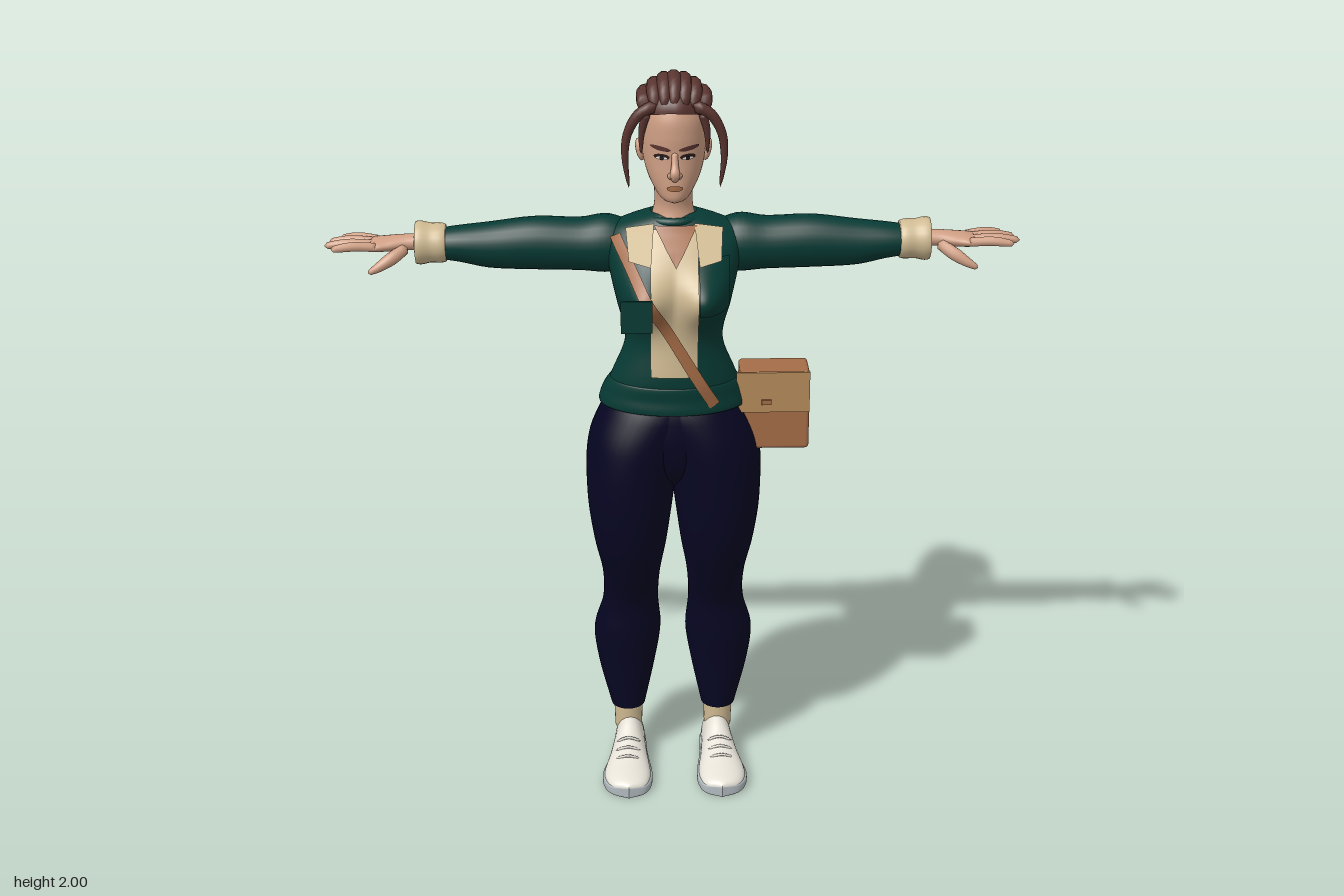
import * as THREE from 'three';
import { RoundedBoxGeometry } from 'three/addons/geometries/RoundedBoxGeometry.js';

const material = (name, color, side = THREE.FrontSide) => {
  const m = new THREE.MeshStandardMaterial({ color, side });
  m.name = name;
  return m;
};

// Smooth lookup in rows keyed by their first column
function lookup(rows, k) {
  let i = 0;
  while (i < rows.length - 2 && k > rows[i + 1][0]) i++;
  const a = rows[i], b = rows[i + 1], p = rows[Math.max(i - 1, 0)], q = rows[Math.min(i + 2, rows.length - 1)];
  const h = b[0] - a[0], t = THREE.MathUtils.clamp((k - a[0]) / h, 0, 1), t2 = t * t, t3 = t2 * t;
  return a.map((_, c) => {
    const m0 = (b[c] - p[c]) / (b[0] - p[0]) * h, m1 = (q[c] - a[c]) / (q[0] - a[0]) * h;
    return (2 * t3 - 3 * t2 + 1) * a[c] + (t3 - 2 * t2 + t) * m0 + (3 * t2 - 2 * t3) * b[c] + (t3 - t2) * m1;
  });
}

// Surface from f(u, v) -> [x, y, z]; u may wrap around
function grid(nu, nv, f, wrap = true) {
  const pos = [], idx = [], cols = wrap ? nu : nu + 1;
  for (let j = 0; j <= nv; j++) for (let i = 0; i < cols; i++) pos.push(...f(i / nu, j / nv));
  for (let j = 0; j < nv; j++) for (let i = 0; i < nu; i++) {
    const a = j * cols + i, b = j * cols + (i + 1) % cols;
    idx.push(a, b, b + cols, a, b + cols, a + cols);
  }
  const g = new THREE.BufferGeometry();
  g.setAttribute('position', new THREE.Float32BufferAttribute(pos, 3));
  g.setIndex(idx);
  g.computeVertexNormals();
  return g;
}

// Upright body form from rows [y, xMin, xMax, zFront, zBack]
const loft = (rows, bump = () => 0, nu = 40, nv = 48) => grid(nu, nv, (u, v) => {
  const [y, x0, x1, zf, zb] = lookup(rows, THREE.MathUtils.lerp(rows[0][0], rows.at(-1)[0], v));
  const a = u * Math.PI * 2, c = Math.cos(a);
  const x = (x0 + x1) / 2 + (x1 - x0) / 2 * Math.sin(a);
  return [x, y, (zf + zb) / 2 + (zf - zb) / 2 * c + (c > 0 ? bump(x, y) * Math.min(1, c * 2) : 0)];
});

// Depth of a body form at (x, y), front or back
function depth(rows, x, y, s = 1, bump = () => 0) {
  const [, x0, x1, zf, zb] = lookup(rows, y);
  const q = (x - (x0 + x1) / 2) / ((x1 - x0) / 2), c = Math.sqrt(Math.max(0, 1 - q * q));
  return (zf + zb) / 2 + s * (zf - zb) / 2 * c + (s > 0 ? bump(x, y) * Math.min(1, c * 2) : 0);
}

// Round tube with changing radius
function taper(points, radii, nu = 10, nv = 16) {
  const curve = new THREE.CatmullRomCurve3(points.map(p => new THREE.Vector3(...p)));
  const fr = curve.computeFrenetFrames(nv, false), rr = radii.map((r, i) => [i / (radii.length - 1), r]);
  return grid(nu, nv, (u, v) => {
    const i = Math.round(v * nv), a = u * Math.PI * 2, r = v === 0 || v === 1 ? 0 : lookup(rr, v)[1];
    return curve.getPoint(v).addScaledVector(fr.normals[i], r * Math.cos(a)).addScaledVector(fr.binormals[i], r * Math.sin(a)).toArray();
  });
}

function mirrored(geo) {
  const g = geo.clone().scale(-1, 1, 1), ix = g.index.array;
  for (let i = 0; i < ix.length; i += 3) [ix[i], ix[i + 1]] = [ix[i + 1], ix[i]];
  return g;
}

const sym = rows => rows.map(([y, r, f, b]) => [y, -r, r, f, b]);
const TORSO = sym([[1.11, .19, .112, -.145], [1.15, .183, .118, -.13], [1.2, .163, .125, -.105], [1.3, .128, .122, -.085],
  [1.4, .15, .125, -.112], [1.48, .168, .122, -.13], [1.55, .18, .092, -.13], [1.59, .165, .06, -.12], [1.615, .11, .045, -.1], [1.63, .06, .03, -.08]]);
const HEM = sym([[1.108, .188, .112, -.148], [1.112, .199, .126, -.158], [1.15, .19, .125, -.14], [1.185, .171, .126, -.113], [1.19, .16, .118, -.105]]);
const PELVIS = sym([[.87, .05, .03, -.04], [.92, .1, .085, -.09], [1, .15, .112, -.125], [1.08, .17, .112, -.13], [1.14, .165, .1, -.11]]);
const LEG = [[.16, .08, .175, -.02, -.125], [.3, .05, .21, -.008, -.155], [.4, .035, .22, .005, -.165], [.5, .042, .195, .012, -.132],
  [.6, .037, .195, .055, -.108], [.7, .02, .215, .095, -.11], [.8, .006, .23, .115, -.118], [.88, -.006, .235, .122, -.137],
  [.95, -.025, .235, .125, -.157], [1.02, -.055, .225, .124, -.166], [1.1, -.1, .192, .112, -.147], [1.14, -.1, .17, .095, -.115]];
const HEAD = sym([[1.678, .006, .085, .06], [1.685, .03, .1, .015], [1.71, .051, .105, -.03], [1.75, .07, .104, -.065], [1.8, .081, .102, -.087],
  [1.85, .083, .105, -.093], [1.9, .08, .1, -.09], [1.94, .065, .075, -.07], [1.97, .01, .01, -.01]]);
const NECK = sym([[1.56, .08, .06, -.09], [1.61, .06, .042, -.088], [1.65, .05, .034, -.083], [1.7, .05, .045, -.075], [1.75, .05, .05, -.07]]);
const ARM = [[.1, 1.53, .06, -.04, .06], [.17, 1.537, .077, -.04, .07], [.24, 1.536, .07, -.038, .066], [.36, 1.54, .07, -.035, .062],
  [.48, 1.536, .06, -.035, .057], [.56, 1.54, .047, -.035, .052], [.61, 1.54, .04, -.035, .045]];
const CUFF = [[.588, 1.542, .03, -.035, .03], [.59, 1.542, .048, -.035, .05], [.63, 1.543, .052, -.035, .053], [.67, 1.543, .054, -.035, .055], [.672, 1.543, .03, -.035, .035]];
const HAND = [[.63, 1.545, .022, -.034, .028], [.69, 1.545, .021, -.034, .028], [.74, 1.542, .019, -.034, .04], [.785, 1.54, .013, -.034, .046], [.795, 1.54, .001, -.034, .02]];
// Shoe rows: z, half width, height, centre x
const SHOE = [[-.125, 0, .04, .122], [-.118, .034, .09, .122], [-.07, .044, .125, .123], [-.025, .047, .125, .125], [.03, .055, .095, .128],
  [.1, .066, .068, .132], [.15, .062, .055, .132], [.185, .042, .045, .13], [.2, 0, .035, .13]];

const bust = (x, y) => .068 * Math.exp(-(((Math.abs(x) - .088) / .068) ** 2) - ((y - 1.43) / .065) ** 2);

export function createModel() {
  const root = new THREE.Group();
  const D = THREE.DoubleSide;
  const skin = material('skin', 0xcf9f84), hair = material('hair', 0x5a3530), green = material('jacketGreen', 0x073a34, D),
    navy = material('trouserNavy', 0x060522), cream = material('cream', 0xcfba92, D), leather = material('leather', 0xa56c47, D),
    tan = material('bagTan', 0xb4895a), white = material('shoeWhite', 0xe6e2d8), grey = material('soleGrey', 0xb2babe), dark = material('dark', 0x2a1a1a);
  const add = (name, geo, mat) => {
    const m = new THREE.Mesh(geo, mat);
    m.name = name;
    root.add(m);
  };
  const both = (name, geo, mat) => {
    add(name + 'Left', geo, mat);
    add(name + 'Right', mirrored(geo), mat);
  };

  // Jacket, trousers
  add('jacketBody', loft(TORSO, bust, 64, 64), green);
  add('jacketHem', loft(HEM), green);
  add('jacketNeckband', new THREE.TorusGeometry(.068, .012, 10, 32).rotateX(Math.PI / 2).scale(1, 1, .98).translate(0, 1.613, -.026), green);
  add('trouserSeat', loft(PELVIS), navy);
  both('trouserLeg', loft(LEG), navy);

  // Sleeves, cuffs and hands run along x
  const limb = rows => grid(24, 32, (u, v) => {
    const [x, cy, ry, cz, rz] = lookup(rows, THREE.MathUtils.lerp(rows[0][0], rows.at(-1)[0], v));
    const a = u * Math.PI * 2;
    return [x, cy - ry * Math.sin(a), cz + rz * Math.cos(a)];
  });
  both('sleeve', limb(ARM), green);
  both('cuff', limb(CUFF), cream);
  both('palm', limb(HAND), skin);
  [[-.068, -.088, .868], [-.046, -.055, .896], [-.023, -.018, .905], [0, .016, .885]].forEach(([z0, z1, x], i) =>
    both('finger' + (i + 1), taper([[.765, 1.541, z0], [(x + .77) / 2, 1.546, (z0 + z1) / 2], [x, 1.541, z1]], [.012, .0125, .012, .008]), skin));
  both('thumb', taper([[.69, 1.538, -.015], [.73, 1.515, .015], [.765, 1.495, .03], [.79, 1.482, .034]], [.014, .017, .012, .006]), skin);

  // Shoes, soles, socks and laces
  const foot = section => grid(36, 40, (u, v) => {
    const z = .0375 - .1625 * Math.cos(v * Math.PI), [, w, h, cx] = lookup(SHOE, z), a = u * Math.PI * 2;
    return section(z, w, h, cx, Math.cos(a), Math.sin(a));
  });
  both('shoe', foot((z, w, h, cx, c, s) => [cx + w * .97 * c, .026 + Math.max(0, h - .026) * Math.max(0, s), z]), white);
  both('sole', foot((z, w, h, cx, c, s) => [cx + w * 1.05 * Math.sign(c) * Math.abs(c) ** .4, .016 + .016 * Math.sign(s) * Math.abs(s) ** .4, z]), grey);
  both('sock', new THREE.CylinderGeometry(.041, .038, .09, 24).translate(.127, .13, -.07), cream);
  for (const z of [.03, .06, .09]) {
    const [, , h, cx] = lookup(SHOE, z);
    both('lace', taper([[cx - .035, h * .87, z], [cx, h + .002, z + .004], [cx + .035, h * .87, z]], [.004, .004, .004], 6, 8), white);
  }

  // Cloth panels laid on the jacket: edge(v) -> [y, xMin, xMax]
  const panel = (edge, off) => grid(14, 26, (u, v) => {
    const [y, a, b] = edge(v), x = THREE.MathUtils.lerp(a, b, u);
    return [x, y, depth(TORSO, x, y, 1, bust) + off];
  }, false);
  add('shirtFront', panel(v => [1.22 + .38 * v, -.063, .06], .006), cream);
  add('undershirt', panel(v => [1.515 + .095 * v, .003 - .055 * v, .003 + .057 * v], .011), leather);
  add('chestPocketLeft', panel(v => [1.4 + .135 * v, .062, .142], .007), green);
  add('chestPocketRight', new THREE.BoxGeometry(.08, .085, .006).translate(-.1, 1.417, .21), green);
  const corners = [[.062, 1.53, .16], [.118, 1.54, .135], [.125, 1.603, .045], [.052, 1.613, .045]];
  both('shirtCollar', grid(6, 6, (u, v) => [0, 1, 2].map(k =>
    (corners[0][k] * (1 - u) + corners[1][k] * u) * (1 - v) + (corners[3][k] * (1 - u) + corners[2][k] * u) * v), false), cream);

  // Diagonal strap across chest and back
  const strap = (top, bottom, s) => grid(2, 40, (u, v) => {
    const x = THREE.MathUtils.lerp(bottom[0], top[0], v) + (u - .5) * .026, y = THREE.MathUtils.lerp(bottom[1], top[1], v) + (u - .5) * .014;
    return [x, y, depth(TORSO, x, y, s, bust) + s * .014];
  }, false);
  add('strapFront', strap([-.152, 1.58], [.105, 1.135], 1), leather);
  add('strapBack', strap([-.128, 1.56], [.135, 1.15], -1), leather);

  // Shoulder bag
  add('bagBody', new RoundedBoxGeometry(.185, .22, .112, 3, .01).translate(.268, 1.09, -.019), leather);
  add('bagFlap', new THREE.BoxGeometry(.195, .112, .009).translate(.262, 1.145, .041), tan);
  add('bagClasp', new THREE.BoxGeometry(.026, .014, .006).translate(.245, 1.118, .047), leather);

  // Head, neck, ears and nose
  add('neck', loft(NECK), skin);
  add('head', loft(HEAD), skin);
  both('ear', new THREE.SphereGeometry(1, 14, 10).scale(.011, .03, .018).rotateZ(-.2).translate(.086, 1.795, -.008), skin);
  add('noseBridge', taper([[0, 1.815, .098], [0, 1.785, .108], [0, 1.758, .117], [0, 1.745, .106]], [.008, .009, .013, .008]), skin);
  both('nostril', new THREE.SphereGeometry(.009, 10, 8).translate(.01, 1.755, .106), skin);

  // Painted face details
  const disc = (cx, cy, rx, ry, off, tilt = 0) => grid(20, 4, (u, v) => {
    const a = u * Math.PI * 2, r = 1 - v, x = cx + rx * r * Math.cos(a), y = cy + ry * r * Math.sin(a) + (x - cx) * tilt;
    return [x, y, depth(HEAD, x, y) + off];
  });
  both('eyeLine', disc(.033, 1.802, .02, .008, .002), dark);
  both('eyeWhite', disc(.033, 1.799, .014, .004, .004), white);
  both('iris', disc(.033, 1.8, .0055, .0055, .006), dark);
  both('eyebrow', disc(.036, 1.824, .026, .006, .003, .14), hair);
  add('lips', disc(0, 1.722, .021, .0075, .004), leather);

  // Hair cap with a hairline that drops towards the back
  add('hairCap', grid(40, 16, (u, v) => {
    const a = u * Math.PI * 2, c = Math.cos(a), low = 1.88 + .035 * c, e = v * Math.PI / 2;
    const r = Math.cos(e) * (1 + .02 * Math.sin(a * 9));
    return [.09 * r * Math.sin(a), low + (1.983 - low) * Math.sin(e), .005 + .106 * r * c];
  }), hair);
  for (let i = -3; i <= 3; i++) {
    const x = i * .021, drop = .0045 * i * i;
    add('hairLock', taper([[x * 1.1, 1.925 - drop * .5, .1 - drop], [x * 1.2, 1.972 - drop, .07], [x * 1.2, 1.984 - drop, .01], [x, 1.955 - drop * .6, -.06], [x * .5, 1.9, -.098]],
      [.011, .018, .02, .018, .012]), hair);
  }
  add('hairKnot', new THREE.SphereGeometry(1, 18, 12).scale(.042, .034, .03).translate(.012, 1.885, -.09), hair);
  add('ponytail', taper([[.012, 1.88, -.085], [.016, 1.876, -.135], [.022, 1.83, -.175], [.025, 1.76, -.188], [.025, 1.68, -.175], [.022, 1.595, -.15]],
    [.016, .022, .03, .033, .024, .005], 16, 28), hair);
  both('sideLock', taper([[.045, 1.935, .095], [.09, 1.91, .092], [.118, 1.86, .085], [.125, 1.8, .08], [.115, 1.715, .075]], [.016, .014, .012, .009, .003]), hair);
  both('templeLock', taper([[.07, 1.91, .07], [.082, 1.86, .062], [.084, 1.8, .055]], [.012, .009, .003]), hair);

  return root;
}
